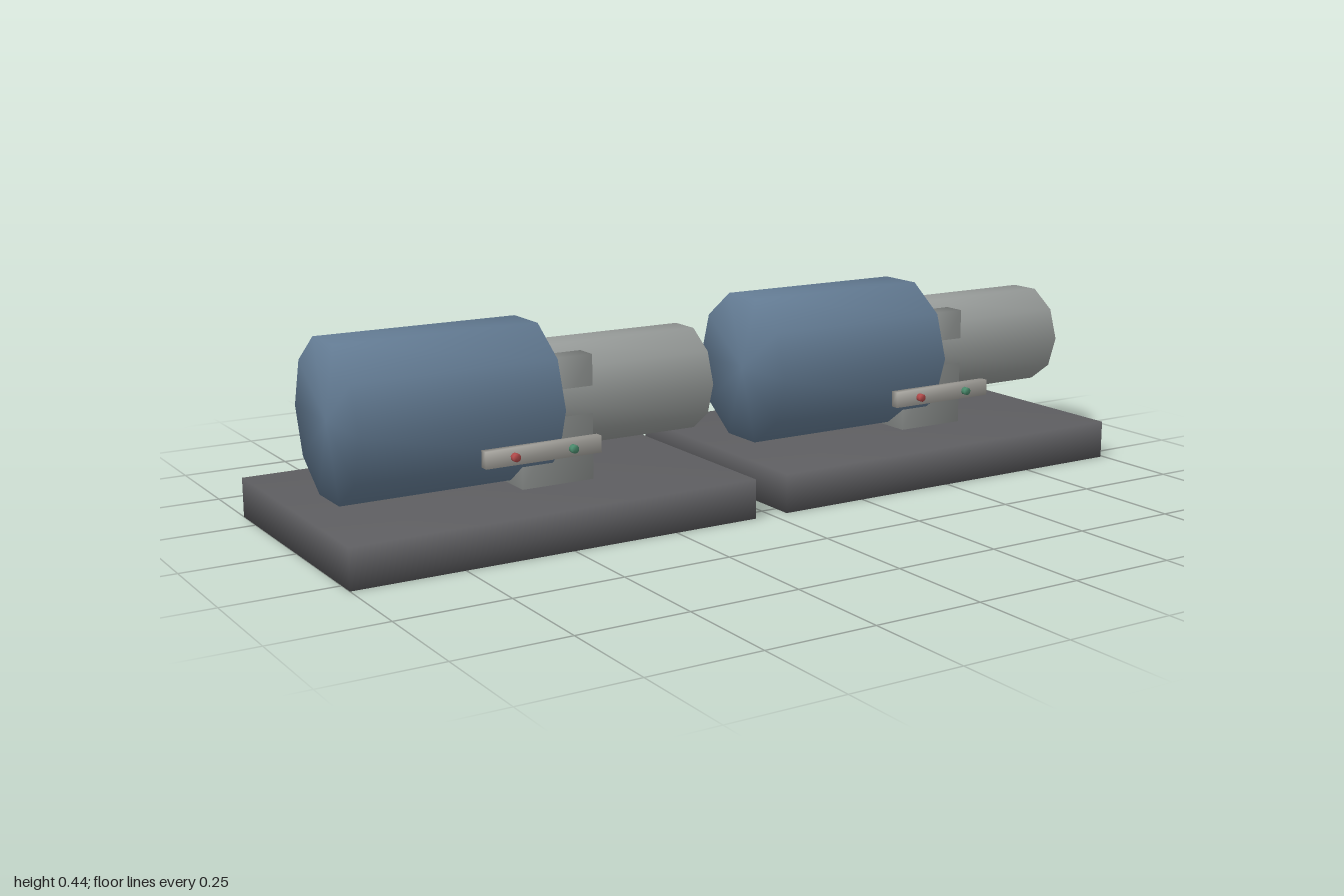
import * as THREE from 'three';
import { mergeVertices } from 'three/addons/utils/BufferGeometryUtils.js';

const paint = (color) => new THREE.MeshStandardMaterial({ color });
const darkGrey = paint(0x5e5e61);
const steel = paint(0x979b99);
const blue = paint(0x637b93);
const panelGrey = paint(0xaaa8a2);
const red = paint(0xb04a4a);
const green = paint(0x4a8a6c);

// Shares corners so that shading runs smoothly round the edges
function soften(geometry) {
  geometry.deleteAttribute('uv');
  geometry.deleteAttribute('normal');
  const merged = mergeVertices(geometry);
  merged.computeVertexNormals();
  return merged;
}

function addPart(group, name, geometry, material) {
  const mesh = new THREE.Mesh(soften(geometry), material);
  mesh.name = name;
  group.add(mesh);
}

// Box given by its lower and upper corners
function box([x0, y0, z0], [x1, y1, z1]) {
  return new THREE.BoxGeometry(x1 - x0, y1 - y0, z1 - z0)
    .translate((x0 + x1) / 2, (y0 + y1) / 2, (z0 + z1) / 2);
}

// Ten-sided drum lying along x, on the common shaft line
function drum(x0, x1, radius) {
  return new THREE.CylinderGeometry(radius, radius, x1 - x0, 10)
    .rotateZ(Math.PI / 2)
    .translate((x0 + x1) / 2, 0.27, -0.017);
}

function button(x) {
  return new THREE.CylinderGeometry(0.009, 0.009, 0.014, 10)
    .rotateX(Math.PI / 2)
    .translate(x, 0.229, 0.322);
}

function createUnit() {
  const unit = new THREE.Group();
  addPart(unit, 'basePlate', box([-1, 0, -0.327], [-0.045, 0.09, 0.293]), darkGrey);
  addPart(unit, 'motor', drum(-0.917, -0.447, 0.18), blue);
  addPart(unit, 'pedestal', box([-0.52, 0.088, -0.129], [-0.345, 0.371, 0.096]), steel);
  addPart(unit, 'pumpHead', drum(-0.421, -0.038, 0.123), steel);

  // Control strip standing off the front with its two buttons
  addPart(unit, 'controlPanel', box([-0.712, 0.211, 0.297], [-0.447, 0.247, 0.317]), panelGrey);
  addPart(unit, 'stopButton', button(-0.648), red);
  addPart(unit, 'startButton', button(-0.515), green);
  return unit;
}

export function createModel() {
  const model = new THREE.Group();
  model.name = 'pumpPair';
  ['rightUnit', 'leftUnit'].forEach((name, i) => {
    const unit = createUnit();
    unit.name = name;
    unit.position.x = i * 1.038;
    model.add(unit);
  });
  return model;
}
